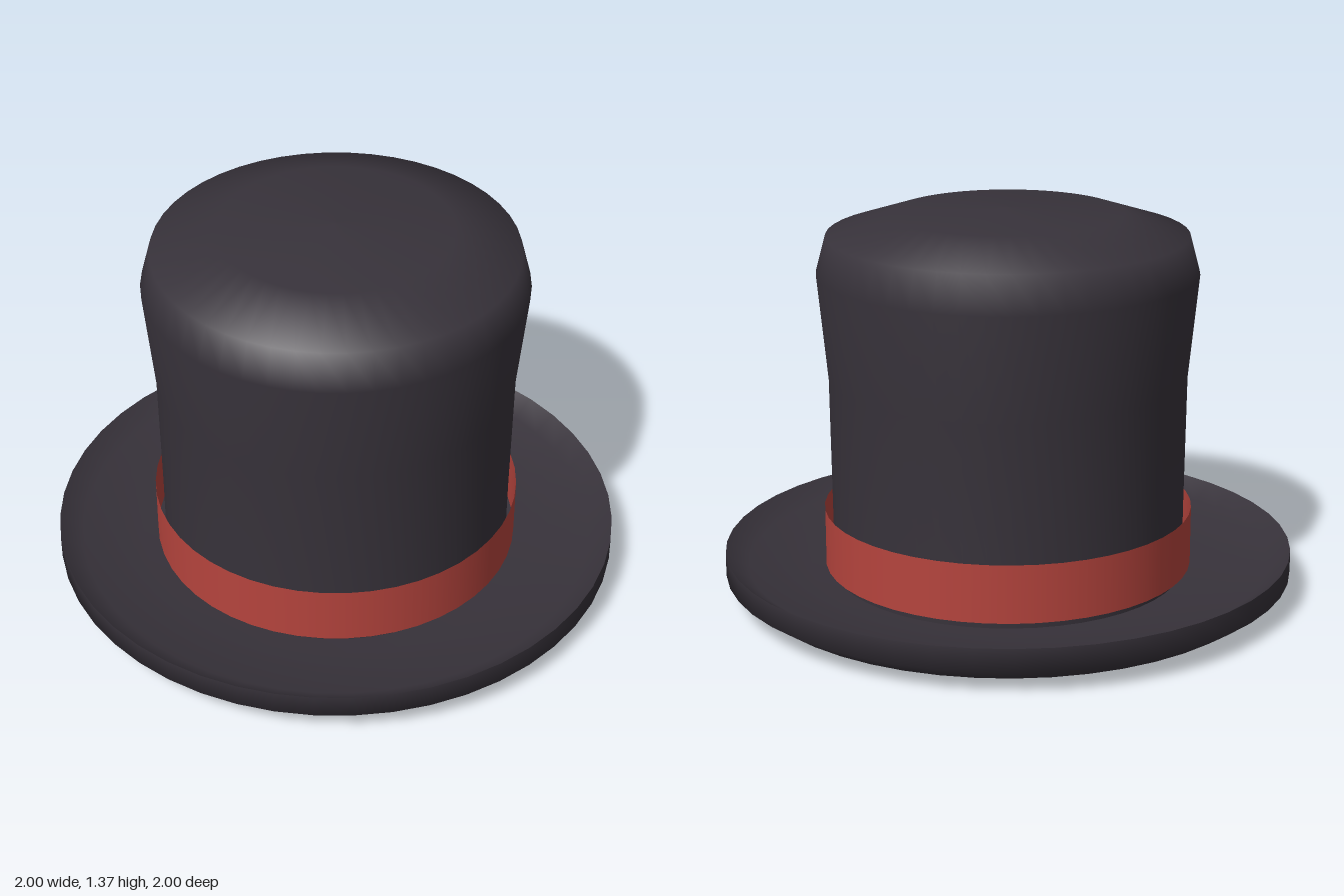
import * as THREE from 'three';

const SEGMENTS = 48;

// Surface of revolution; the profile runs from the underside outward, up and back in.
function turned(name, profile, material) {
  const points = profile.map(([r, y]) => new THREE.Vector2(r, y));
  const mesh = new THREE.Mesh(new THREE.LatheGeometry(points, SEGMENTS), material);
  mesh.name = name;
  return mesh;
}

export function createModel() {
  const hat = new THREE.Group();
  hat.name = 'topHat';
  const felt = new THREE.MeshStandardMaterial({ color: 0x37323a });
  const ribbon = new THREE.MeshStandardMaterial({ color: 0xb5443d, side: THREE.DoubleSide });

  // Brim: closed underside with an upturned edge, and a dished top with a crisp rim
  const brim = new THREE.Group();
  brim.name = 'brim';
  brim.add(
    turned('brimUnderside', [[0, 0], [0.7, 0.01], [0.92, 0.025], [1, 0.08], [1, 0.16]], felt),
    turned('brimTop', [[1, 0.16], [0.92, 0.105], [0.7, 0.08], [0.6, 0.07]], felt)
  );

  // Crown: nearly straight wall flaring to a softly domed top
  const crown = turned('crown', [
    [0.62, 0.05], [0.62, 0.3], [0.625, 0.78], [0.66, 1.145],
    [0.625, 1.275], [0.4, 1.348], [0, 1.365]
  ], felt);

  // Ribbon band standing slightly off the crown
  const band = turned('band', [[0.648, 0.1], [0.648, 0.305]], ribbon);

  hat.add(brim, crown, band);
  return hat;
}
